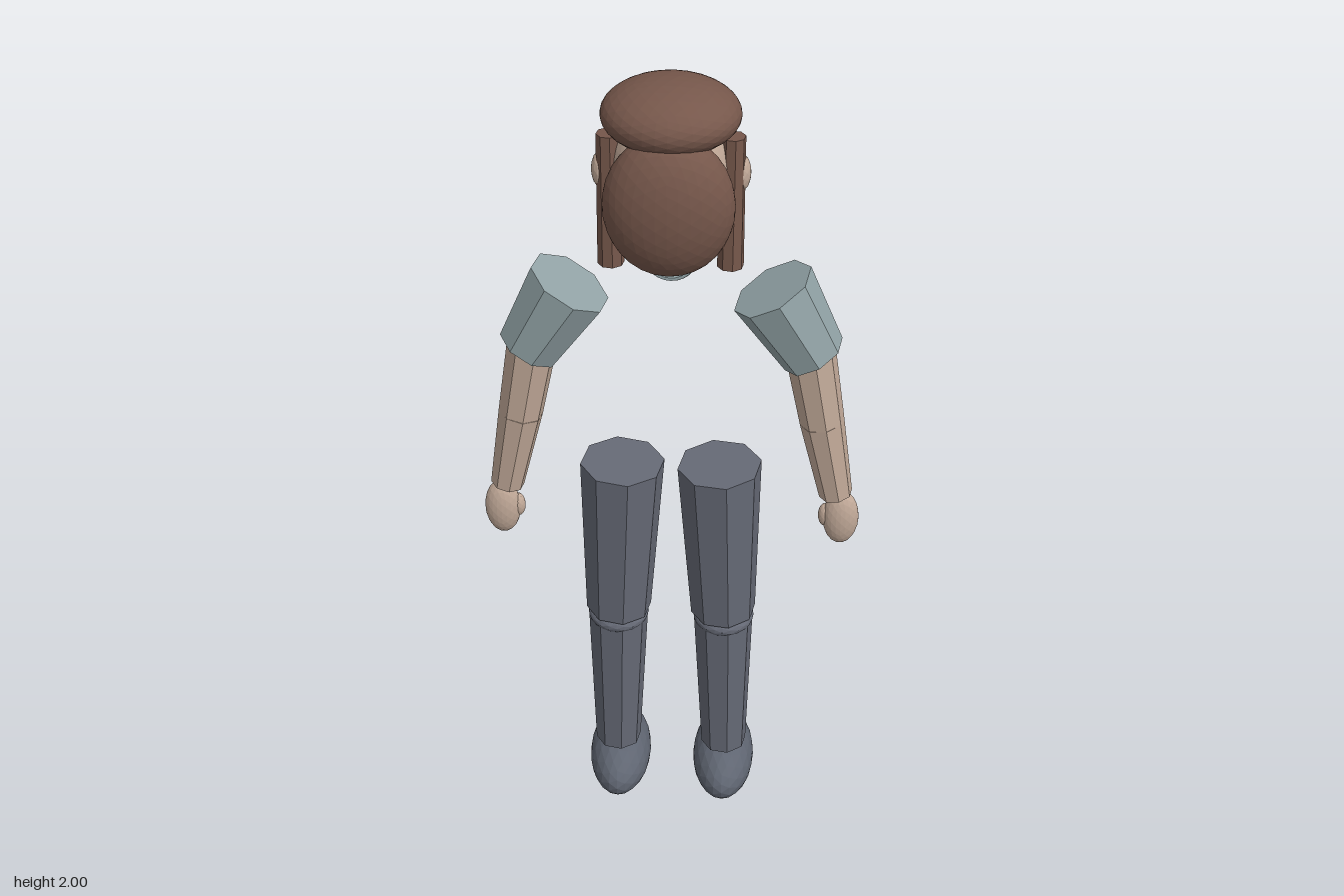
import * as THREE from 'three';

const paint = (name, color) => {
  const m = new THREE.MeshStandardMaterial({ color });
  m.name = name;
  return m;
};

export function createModel() {
  const model = new THREE.Group();
  model.name = 'figure';
  const skin = paint('skin', 0xc2aa99);
  const hair = paint('brown hair', 0x76574b);
  const shirt = paint('pale blue shirt', 0x93a4a7);
  const trousers = paint('slate trousers', 0x666a76);
  const shoe = paint('dark slate shoes', 0x5f6571);
  const eyeWhite = paint('eye white', 0xd8dcdc);
  const iris = paint('grey blue iris', 0x55686e);
  const lip = paint('dark lip', 0x5c3833);

  const add = (name, geometry, material, parent = model) => {
    // Separate faces give crisp low-poly facets
    const flat = geometry.index ? geometry.toNonIndexed() : geometry;
    flat.computeVertexNormals();
    const mesh = new THREE.Mesh(flat, material);
    mesh.name = name;
    parent.add(mesh);
    return mesh;
  };

  // Faceted ellipsoid
  const blob = (name, material, pos, radii, detail = 3, parent = model) => {
    const g = new THREE.IcosahedronGeometry(1, detail);
    g.scale(...radii);
    const mesh = add(name, g, material, parent);
    mesh.position.set(...pos);
    return mesh;
  };

  // Tapered eight-sided limb from point a to point b
  const limb = (name, material, a, b, ra, rb, parent = model) => {
    const from = new THREE.Vector3(...a), to = new THREE.Vector3(...b);
    const axis = from.clone().sub(to);
    const g = new THREE.CylinderGeometry(ra, rb, axis.length(), 8);
    g.rotateY(Math.PI / 16);
    const mesh = add(name, g, material, parent);
    mesh.position.copy(from).add(to).multiplyScalar(0.5);
    mesh.quaternion.setFromUnitVectors(new THREE.Vector3(0, 1, 0), axis.normalize());
    return mesh;
  };

  // Head and hair; the face looks towards -z
  const head = new THREE.Group();
  head.name = 'head';
  model.add(head);
  blob('face', skin, [0, 1.79, 0], [0.13, 0.17, 0.115], 7, head);
  blob('hairCap', hair, [0, 1.927, 0.016], [0.147, 0.073, 0.133], 5, head);
  blob('backHair', hair, [0, 1.757, 0.1], [0.139, 0.163, 0.081], 5, head);
  blob('fringe', hair, [0, 1.888, -0.085], [0.1, 0.038, 0.04], 3, head);
  blob('noseBridge', skin, [0, 1.788, -0.115], [0.012, 0.03, 0.015], 2, head);
  blob('noseTip', skin, [0, 1.767, -0.122], [0.02, 0.015, 0.019], 2, head);
  blob('mouth', lip, [0, 1.725, -0.1], [0.036, 0.007, 0.011], 2, head);

  // Neck and thin collar ring
  limb('neck', skin, [0, 1.68, 0.017], [0, 1.572, 0.017], 0.053, 0.054);
  const collar = add('collar', new THREE.TorusGeometry(0.05, 0.007, 6, 24), shirt);
  collar.position.set(0, 1.582, 0.015);

  for (const s of [-1, 1]) {
    const side = s > 0 ? 'left' : 'right';

    // Face details and side locks
    blob(side + 'Ear', skin, [s * 0.145, 1.792, 0.012], [0.023, 0.043, 0.028], 2, head);
    blob(side + 'Eye', eyeWhite, [s * 0.05, 1.82, -0.1], [0.02, 0.013, 0.012], 2, head);
    blob(side + 'Iris', iris, [s * 0.05, 1.82, -0.109], [0.009, 0.01, 0.006], 2, head);
    limb(side + 'Lock', hair, [s * 0.13, 1.88, 0.02], [s * 0.128, 1.577, 0.03], 0.026, 0.029, head);

    // Arm
    const arm = new THREE.Group();
    arm.name = side + 'Arm';
    model.add(arm);
    limb('sleeve', shirt, [s * 0.22, 1.512, 0.014], [s * 0.315, 1.347, 0.014], 0.096, 0.073, arm);
    limb('upperForearm', skin, [s * 0.307, 1.36, 0.014], [s * 0.341, 1.17, 0.014], 0.057, 0.051, arm);
    limb('lowerForearm', skin, [s * 0.341, 1.17, 0.014], [s * 0.381, 0.963, 0.01], 0.051, 0.039, arm);
    blob('hand', skin, [s * 0.396, 0.89, 0.005], [0.042, 0.074, 0.028], 3, arm);
    blob('thumb', skin, [s * 0.359, 0.893, 0.002], [0.016, 0.031, 0.017], 2, arm);

    // Leg
    const leg = new THREE.Group();
    leg.name = side + 'Leg';
    model.add(leg);
    limb('thigh', trousers, [s * 0.112, 1.036, 0.014], [s * 0.126, 0.607, 0.014], 0.098, 0.078, leg);
    blob('knee', trousers, [s * 0.127, 0.59, 0.014], [0.073, 0.035, 0.075], 3, leg);
    limb('shin', trousers, [s * 0.127, 0.59, 0.014], [s * 0.133, 0.176, 0.014], 0.072, 0.056, leg);
    blob('foot', shoe, [s * 0.132, 0.081, -0.032], [0.077, 0.079, 0.149], 3, leg);
  }
  return model;
}
